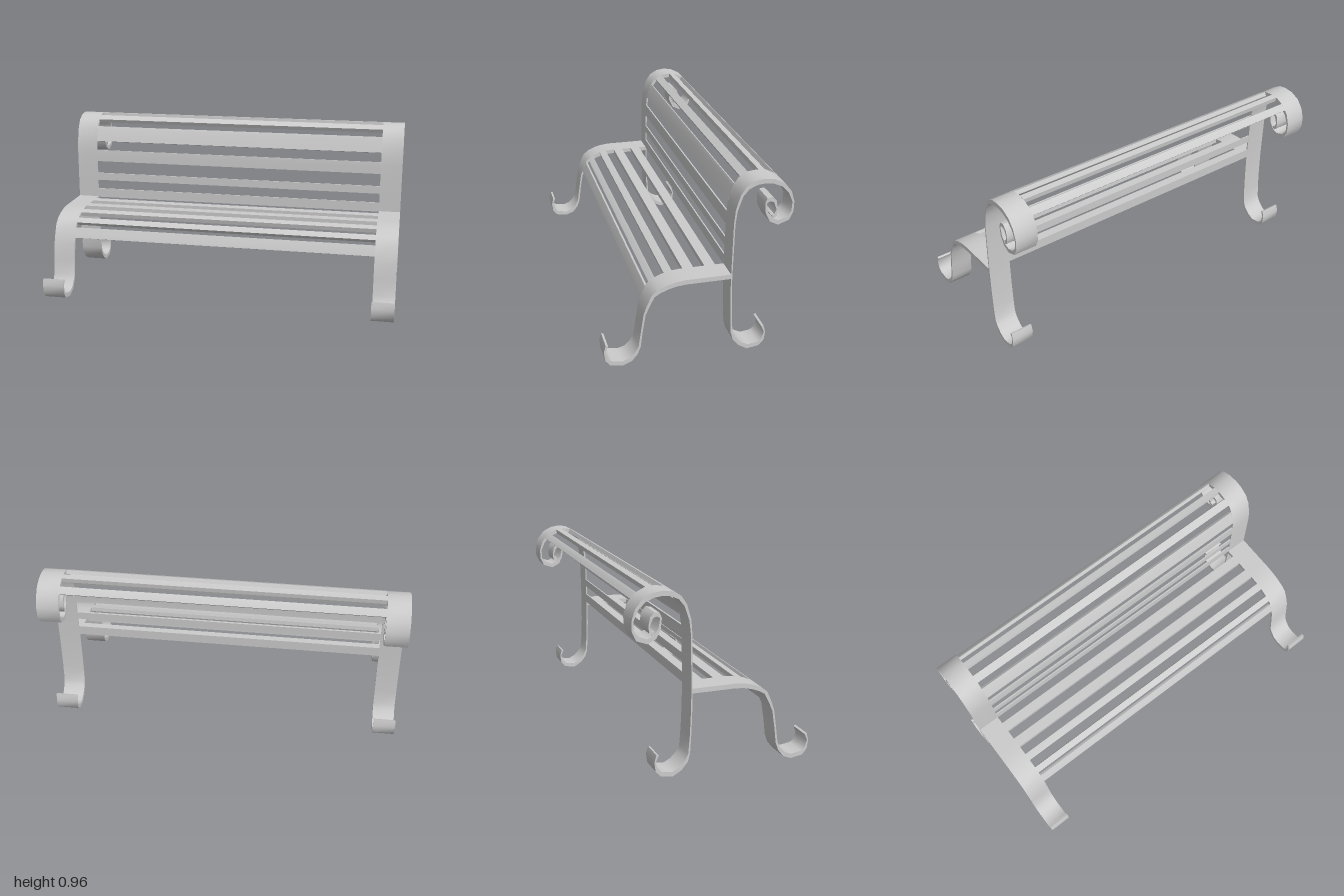
import * as THREE from 'three';
import { toCreasedNormals } from 'three/addons/utils/BufferGeometryUtils.js';

// Centre lines of the bent straps, as [z, y]
const rearFoot = [
  [-0.354, 0.127], [-0.367, 0.09], [-0.358, 0.045], [-0.333, 0.022], [-0.275, 0.013],
  [-0.232, 0.037], [-0.2, 0.073], [-0.186, 0.11], [-0.18, 0.2], [-0.176, 0.3],
];
const backRise = [
  [-0.174, 0.43], [-0.176, 0.56], [-0.179, 0.73], [-0.187, 0.805], [-0.211, 0.88],
  [-0.24, 0.92], [-0.285, 0.943], [-0.327, 0.948], [-0.375, 0.942], [-0.423, 0.92],
  [-0.46, 0.878],
];
const scroll = [
  [-0.48, 0.825], [-0.478, 0.772], [-0.456, 0.735], [-0.406, 0.718], [-0.368, 0.735],
  [-0.344, 0.775], [-0.337, 0.828], [-0.35, 0.846], [-0.366, 0.848], [-0.385, 0.834],
  [-0.397, 0.791], [-0.39, 0.762], [-0.374, 0.752],
];
const frontFoot = [
  [0.472, 0.127], [0.485, 0.09], [0.475, 0.045], [0.452, 0.022], [0.39, 0.013],
  [0.35, 0.028], [0.32, 0.062], [0.303, 0.1], [0.291, 0.19],
];
const seatRun = [
  [0.277, 0.28], [0.26, 0.325], [0.232, 0.383], [0.2, 0.406], [0.155, 0.424],
  [0.11, 0.435], [0.06, 0.44], [0, 0.44], [-0.176, 0.441],
];

const SIDE = 0.875;
const material = new THREE.MeshStandardMaterial({ color: 0xcccccc });

// Strap along a centre line from x0 to x1: thin where upright, thicker where level
function strap(path, x0, x1, name) {
  const left = [], right = [];
  path.forEach(([z, y], i) => {
    const a = path[Math.max(i - 1, 0)], b = path[Math.min(i + 1, path.length - 1)];
    const t = new THREE.Vector2(b[0] - a[0], b[1] - a[1]).normalize();
    const half = 0.0035 + 0.009 * Math.abs(t.x);
    left.push(new THREE.Vector2(z - t.y * half, y + t.x * half));
    right.unshift(new THREE.Vector2(z + t.y * half, y - t.x * half));
  });
  const geometry = new THREE.ExtrudeGeometry(new THREE.Shape([...left, ...right]), {
    depth: x1 - x0, bevelEnabled: false,
  });
  geometry.rotateY(-Math.PI / 2).translate(x1, 0, 0);
  const mesh = new THREE.Mesh(toCreasedNormals(geometry, 0.75), material);
  mesh.name = name;
  return mesh;
}

// Piece of a path between two values of one coordinate (0 = z, 1 = y)
function cut(path, axis, from, to) {
  const lo = Math.min(from, to), hi = Math.max(from, to);
  const out = [];
  for (let i = 0; i < path.length; i++) {
    const p = path[i], q = path[i + 1];
    if (p[axis] > lo && p[axis] < hi) out.push(p);
    if (!q) break;
    const hits = [lo, hi]
      .map((v) => (v - p[axis]) / (q[axis] - p[axis]))
      .filter((s) => s >= 0 && s < 1)
      .sort((a, b) => a - b);
    for (const s of hits) {
      out.push([p[0] + (q[0] - p[0]) * s, p[1] + (q[1] - p[1]) * s]);
    }
  }
  return out;
}

export function createModel() {
  const bench = new THREE.Group();
  bench.name = 'bench';

  // End frames: a scrolled back strap and a seat strap on each side
  for (const side of [1, -1]) {
    const frame = new THREE.Group();
    frame.name = side > 0 ? 'leftFrame' : 'rightFrame';
    const x0 = side > 0 ? SIDE : -1, x1 = side > 0 ? 1 : -SIDE;
    frame.add(strap([...rearFoot, ...backRise, ...scroll], x0, x1, 'backStrap'));
    frame.add(strap([...frontFoot, ...seatRun], x0, x1, 'seatStrap'));
    bench.add(frame);
  }

  // Backrest slats on the upright part, by height
  const upright = backRise.slice(0, 8);
  for (const [a, b] of [[0.45, 0.505], [0.56, 0.605], [0.68, 0.75], [0.805, 0.89]]) {
    bench.add(strap(cut(upright, 1, a, b), -SIDE, SIDE, 'backSlat'));
  }

  // Slats over the rolled top, by depth
  for (const [a, b] of [[-0.245, -0.285], [-0.335, -0.37], [-0.415, -0.443]]) {
    bench.add(strap(cut(backRise, 0, a, b), -SIDE, SIDE, 'topSlat'));
  }

  // Seat slats, by depth
  for (const [a, b] of [[-0.125, -0.068], [-0.008, 0.05], [0.105, 0.145], [0.192, 0.222], [0.238, 0.264]]) {
    bench.add(strap(cut(seatRun, 0, a, b), -SIDE, SIDE, 'seatSlat'));
  }
  return bench;
}
